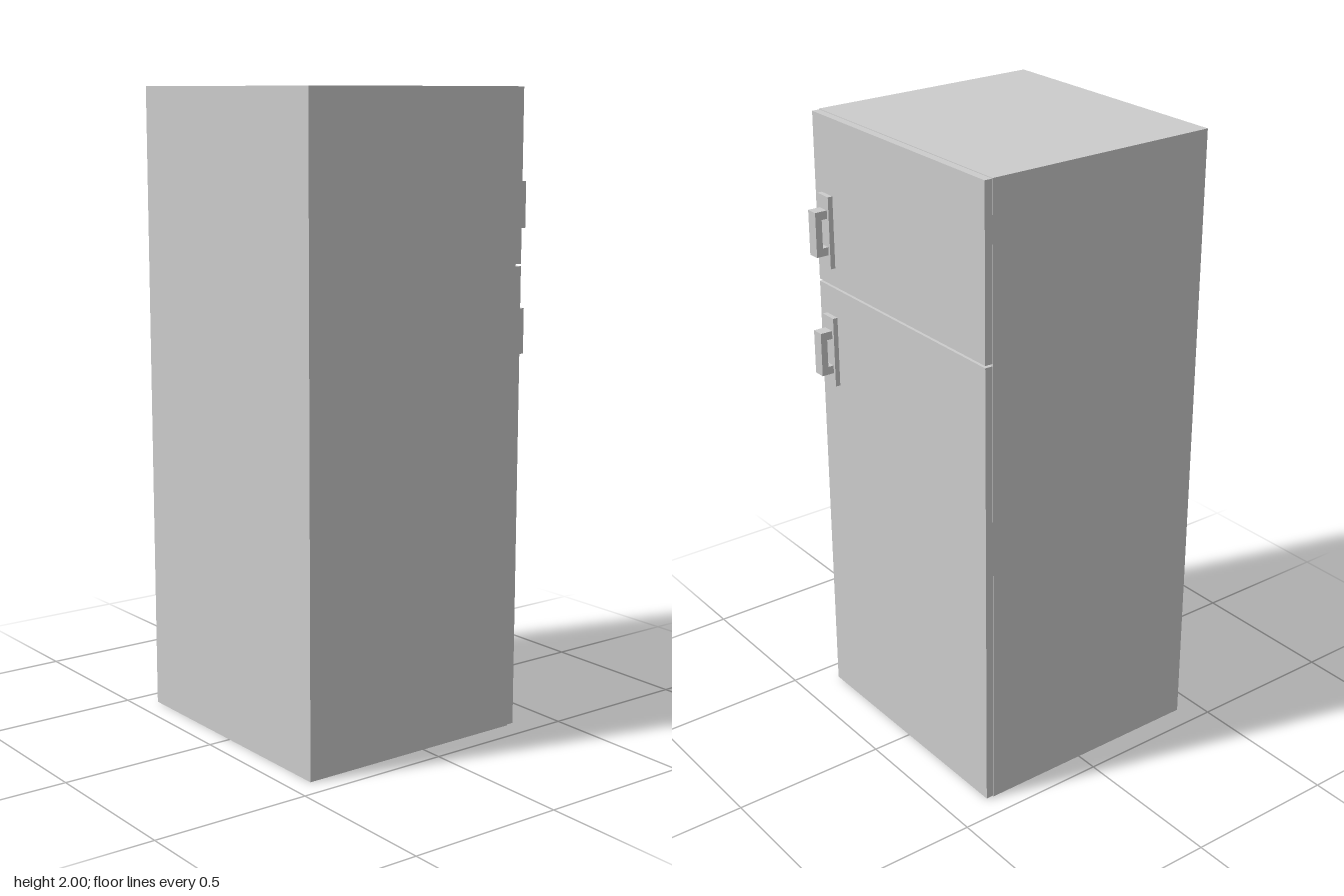
import * as THREE from 'three';

const material = new THREE.MeshStandardMaterial({ color: 0xcccccc, flatShading: true });

// Box given by its lower and upper corners
function box(name, [x0, y0, z0], [x1, y1, z1]) {
  const mesh = new THREE.Mesh(new THREE.BoxGeometry(x1 - x0, y1 - y0, z1 - z0), material);
  mesh.position.set((x0 + x1) / 2, (y0 + y1) / 2, (z0 + z1) / 2);
  mesh.name = name;
  return mesh;
}

// Mounting plate with a bracket-shaped grip, centred on the given height
function makeHandle(name, y) {
  const handle = new THREE.Group();
  handle.name = name;
  handle.add(box('handlePlate', [0.37, -0.114, 0.333], [0.386, 0.114, 0.391]));

  const grip = new THREE.Shape([
    [0.386, -0.071], [0.427, -0.071], [0.427, 0.071], [0.386, 0.071],
    [0.386, 0.045], [0.405, 0.045], [0.405, -0.045], [0.386, -0.045],
  ].map(([px, py]) => new THREE.Vector2(px, py)));
  const geometry = new THREE.ExtrudeGeometry(grip, { depth: 0.039, bevelEnabled: false });
  const mesh = new THREE.Mesh(geometry, material);
  mesh.name = 'handleGrip';
  mesh.position.z = 0.342;
  handle.add(mesh);

  handle.position.y = y;
  return handle;
}

export function createModel() {
  const model = new THREE.Group();
  model.name = 'refrigerator';
  const half = 0.428, seam = 0.345, face = 0.37, inset = 0.002;

  // Cabinet
  model.add(box('cabinet', [-half, 0, -half], [seam, 2, half]));

  // Doors on the +x side, slightly inset, with a narrow gap between them
  const z = half - inset;
  model.add(box('lowerDoor', [seam, inset, -z], [face, 1.461, z]));
  model.add(box('upperDoor', [seam, 1.468, -z], [face, 2 - inset, z]));

  // Handles
  model.add(makeHandle('upperHandle', 1.643));
  model.add(makeHandle('lowerHandle', 1.253));
  return model;
}
